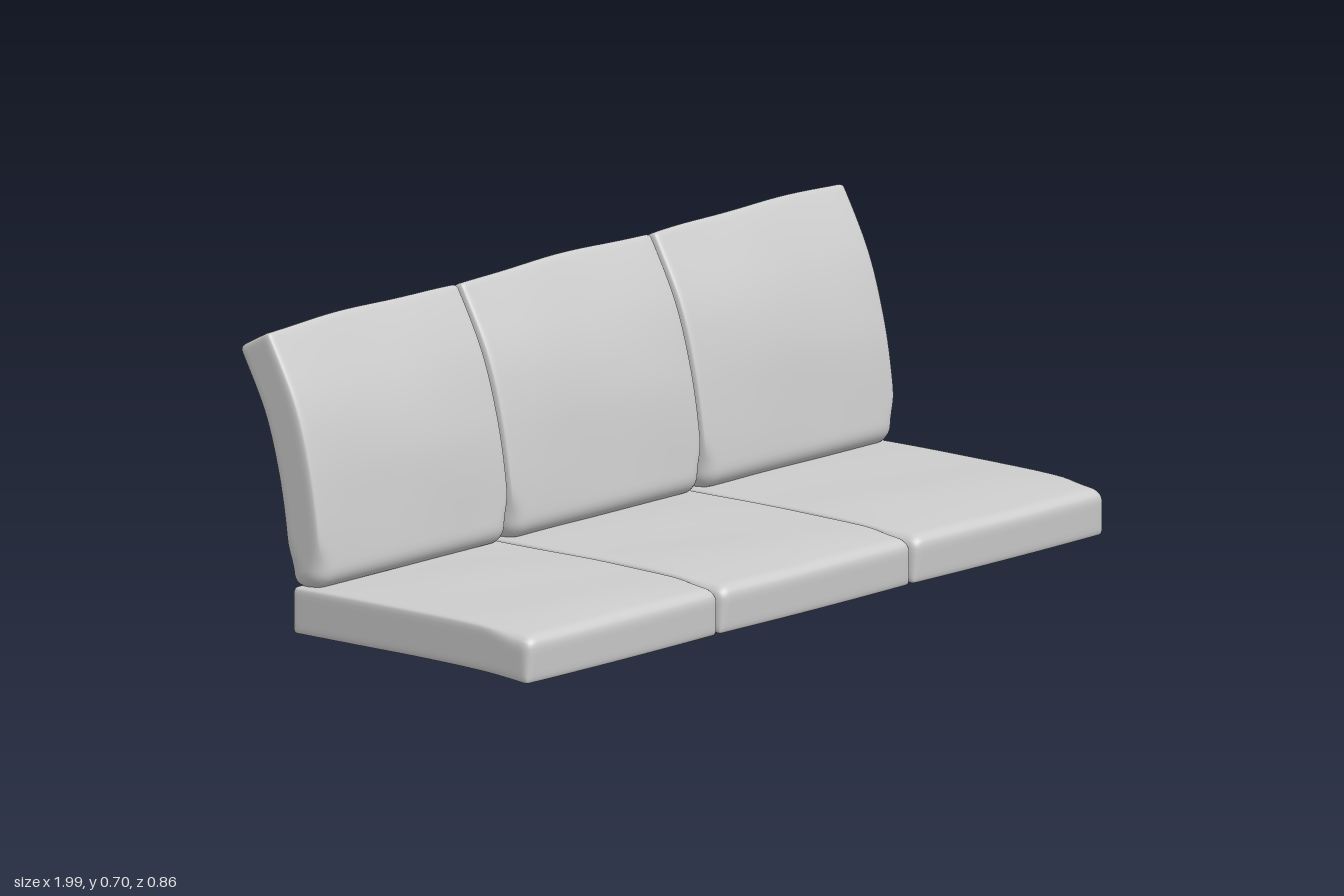
import * as THREE from 'three';
import { mergeVertices } from 'three/addons/utils/BufferGeometryUtils.js';

const { clamp, lerp, smoothstep } = THREE.MathUtils;
const HALF_W = 0.33;

// Soft cushion: a rounded box bent along a side-view spine of [z, y] points.
// The face on the spine's left-hand side is the padded one.
function cushionGeometry({ spine, half, radius, endRadius, endRadiusBack, bulge, puff, phase }) {
  const curve = new THREE.SplineCurve(spine.map(([z, y]) => new THREE.Vector2(z, y)));
  const length = curve.getLength();
  const size = new THREE.Vector3(HALF_W, length / 2, half);

  const geo = new THREE.BoxGeometry(2, 2, 2, 36, 40, 12);
  geo.deleteAttribute('uv');
  geo.deleteAttribute('normal');
  const pos = geo.attributes.position;
  const p = new THREE.Vector3(), core = new THREE.Vector3();

  for (let i = 0; i < pos.count; i++) {
    // crowd the grid lines toward the edges
    p.fromBufferAttribute(pos, i);
    p.set(...p.toArray().map((v) => Math.sin(v * Math.PI / 2))).multiply(size);

    // round the edges, more at the start of the spine
    const padded = clamp(p.z / half, -1, 1);
    const nearStart = 1 - smoothstep(p.y / length + 0.5, 0.06, 0.2);
    const r = lerp(radius, lerp(endRadiusBack, endRadius, (padded + 1) / 2), nearStart);
    core.set(
      clamp(p.x, -size.x + r, size.x - r),
      clamp(p.y, -size.y + r, size.y - r),
      clamp(p.z, -size.z + r, size.z - r)
    );
    p.sub(core).setLength(r).add(core);

    // padding, gentle dents and bowed ends
    const u = p.x / HALF_W;
    const s = clamp(p.y / length + 0.5, 0, 1);
    const across = 1 - u * u;
    const along = 4 * s * (1 - s);
    const dents = Math.sin(3.1 * u + 5 * s + phase) * Math.sin(6.5 * s - 1.7 * u + phase * 1.7);
    const lift = Math.max(0, p.z / half) * Math.sqrt(Math.max(0, across * along)) * (puff + 0.004 * dents);
    const bow = across * (bulge[0] * (1 - s) * -1 + bulge[1] * s)
      + 0.0025 * s * across * Math.sin(4 * u + phase * 2);

    // bend along the spine
    const c = curve.getPointAt(s), t = curve.getTangentAt(s);
    const n = p.z + lift;
    pos.setXYZ(i, p.x, c.y + t.y * bow - t.x * n, c.x + t.x * bow + t.y * n);
  }
  const welded = mergeVertices(geo, 1e-5);
  welded.computeVertexNormals();
  return welded;
}

export function createModel() {
  const group = new THREE.Group();
  group.name = 'benchCushions';
  const material = new THREE.MeshStandardMaterial({ color: 0xcccccc });

  const seat = {
    spine: [[0.428, 0.057], [0.3, 0.068], [0.12, 0.073], [-0.08, 0.074], [-0.267, 0.075]],
    half: 0.054, radius: 0.012, endRadius: 0.03, endRadiusBack: 0.012,
    bulge: [0.004, 0], puff: 0.006
  };
  const back = {
    spine: [[-0.226, 0.126], [-0.243, 0.28], [-0.268, 0.41], [-0.309, 0.54], [-0.382, 0.679]],
    half: 0.049, radius: 0.013, endRadius: 0.044, endRadiusBack: 0.036,
    bulge: [0, 0.007], puff: 0.005
  };

  // Three seat cushions, each with a reclined back cushion
  ['right', 'middle', 'left'].forEach((side, i) => {
    const add = (name, part, phase) => {
      const mesh = new THREE.Mesh(cushionGeometry({ ...part, phase }), material);
      mesh.name = side + name;
      mesh.position.x = (i - 1) * 0.667;
      group.add(mesh);
    };
    add('SeatCushion', seat, 0.6 + i * 1.9);
    add('BackCushion', back, 1.4 + i * 2.3);
  });
  return group;
}
